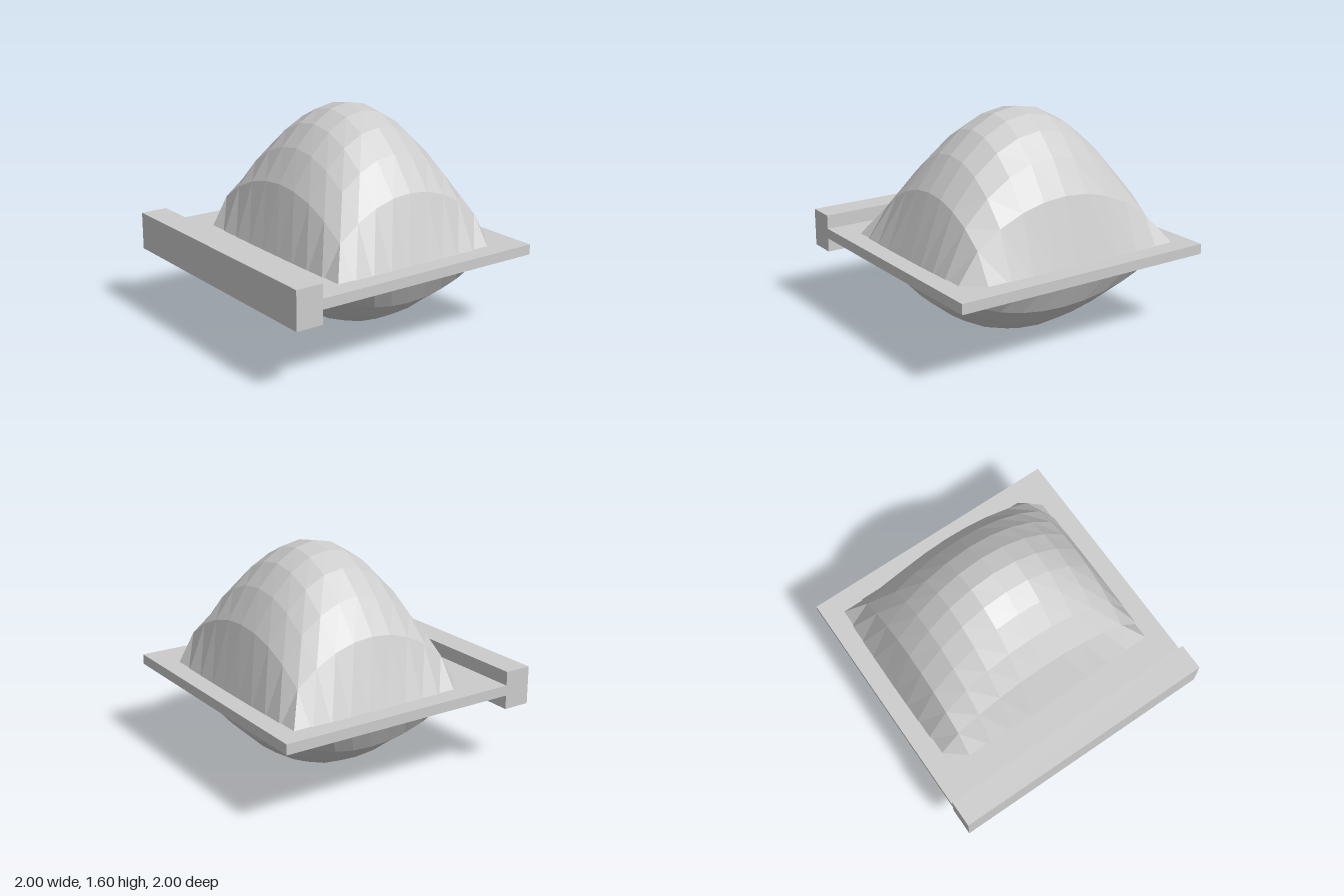
import * as THREE from 'three';

const BASE = 0.6;          // height of the rim, inside the plate
const CENTER_Z = -0.14;
const HALF_X = 0.88, HALF_Z = 0.735;
const N = 10;              // cells along each side

// Rectangular bulge: a 10 x 10 sheet lifted by a softened sine product
function bulge(height) {
  const pos = [], index = [];
  const lift = (t) => Math.pow(Math.max(0, Math.sin(Math.PI * t)), 0.6);
  for (let j = 0; j <= N; j++) {
    for (let i = 0; i <= N; i++) {
      const u = i / N, v = j / N;
      const edge = i === 0 || j === 0 || i === N || j === N;
      const y = edge ? 0 : height * lift(u) * lift(v);
      pos.push((2 * u - 1) * HALF_X, BASE + y, CENTER_Z + (2 * v - 1) * HALF_Z);
    }
  }
  for (let j = 0; j < N; j++) {
    for (let i = 0; i < N; i++) {
      const a = j * (N + 1) + i, b = a + 1, c = a + N + 1, d = c + 1;
      // reverse the corner order for the downward bulge
      if (height > 0) index.push(a, c, d, a, d, b);
      else index.push(a, d, c, a, b, d);
    }
  }
  const geo = new THREE.BufferGeometry();
  geo.setAttribute('position', new THREE.Float32BufferAttribute(pos, 3));
  geo.setIndex(index);
  const flat = geo.toNonIndexed();
  flat.computeVertexNormals();
  return flat;
}

export function createModel() {
  const group = new THREE.Group();
  const grey = new THREE.MeshStandardMaterial({ color: 0xcccccc, flatShading: true });
  grey.name = 'light grey';

  const add = (name, geometry, x = 0, y = 0, z = 0) => {
    const mesh = new THREE.Mesh(geometry, grey);
    mesh.name = name;
    mesh.position.set(x, y, z);
    group.add(mesh);
  };

  // Flat flange and the thick bar along its front edge
  add('flangePlate', new THREE.BoxGeometry(2, 0.074, 1.8), 0, 0.603, -0.1);
  add('frontBar', new THREE.BoxGeometry(2, 0.276, 0.2), 0, 0.603, 0.9);

  // Tall dome above, shallow bowl below
  add('upperDome', bulge(1.0));
  add('lowerBowl', bulge(-0.6));

  return group;
}
